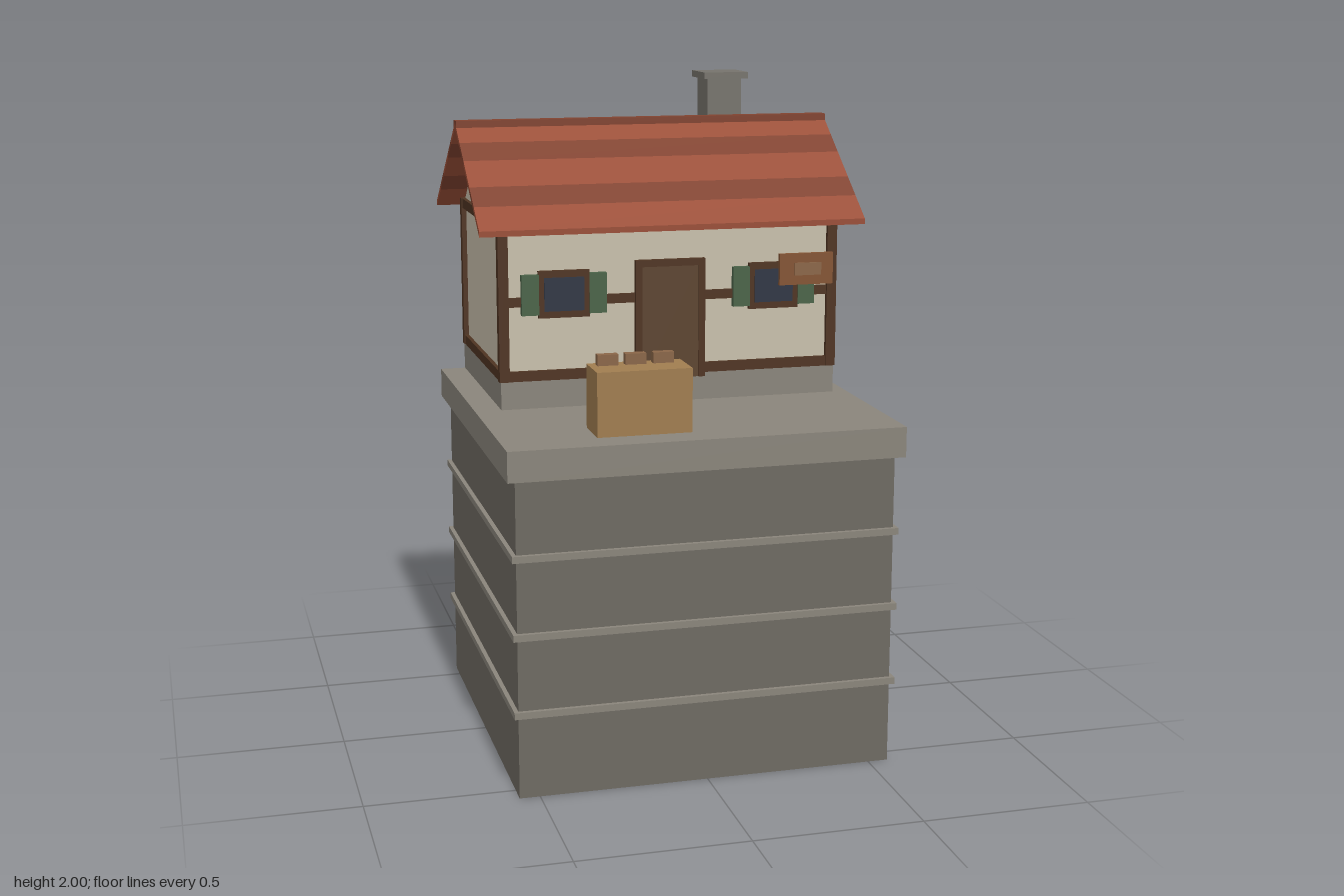
import * as THREE from 'three';

const mat = (color) => new THREE.MeshStandardMaterial({ color, flatShading: true });

const M = {
  stone: mat(0x6e6a62), slab: mat(0x8a857b), chimney: mat(0x76736c), plaster: mat(0xc8bfab),
  timber: mat(0x4f3422), door: mat(0x5c4430), glass: mat(0x303644), shutter: mat(0x4a6348),
  tileLight: mat(0x9a4e37), tileDark: mat(0x80422f), crate: mat(0xa07d50),
  sign: mat(0x845434), loaf: mat(0x8a6648),
};

// Box given by its lower and upper limits on each axis
function box(parent, name, material, [x0, x1], [y0, y1], [z0, z1]) {
  const mesh = new THREE.Mesh(new THREE.BoxGeometry(x1 - x0, y1 - y0, z1 - z0), material);
  mesh.position.set((x0 + x1) / 2, (y0 + y1) / 2, (z0 + z1) / 2);
  mesh.name = name;
  parent.add(mesh);
  return mesh;
}

// Outline in (z, y) extruded along x, centred on x = 0
function prism(parent, name, material, points, length) {
  const shape = new THREE.Shape(points.map(([z, y]) => new THREE.Vector2(-z, y)));
  const geometry = new THREE.ExtrudeGeometry(shape, { depth: length, bevelEnabled: false });
  geometry.translate(0, 0, -length / 2).rotateY(Math.PI / 2);
  const mesh = new THREE.Mesh(geometry, material);
  mesh.name = name;
  parent.add(mesh);
}

// Window with frame, glass and a pair of shutters, facing +z
function createWindow(x) {
  const g = new THREE.Group();
  g.name = 'window';
  box(g, 'windowFrame', M.timber, [-0.077, 0.077], [1.315, 1.455], [-0.01, 0.014]);
  box(g, 'windowGlass', M.glass, [-0.06, 0.06], [1.335, 1.435], [0, 0.017]);
  for (const s of [-1, 1]) {
    const c = s * 0.102;
    box(g, 'shutter', M.shutter, [c - 0.026, c + 0.026], [1.325, 1.445], [-0.01, 0.018]);
  }
  g.position.x = x;
  return g;
}

function createPlinth() {
  const g = new THREE.Group();
  g.name = 'plinth';
  const square = (name, m, r, y) => box(g, name, m, [-r, r], y, [-r, r]);
  square('plinthBlock', M.stone, 0.56, [0, 0.94]);
  for (const y of [0.254, 0.485, 0.715]) square('plinthBand', M.slab, 0.573, [y - 0.01, y + 0.01]);
  square('plinthTop', M.slab, 0.585, [0.94, 1.03]);
  return g;
}

// House body, centred on its own z = 0
function createHouse() {
  const g = new THREE.Group();
  g.name = 'house';
  box(g, 'foundation', M.slab, [-0.517, 0.517], [1.045, 1.13], [-0.327, 0.327]);
  box(g, 'walls', M.plaster, [-0.506, 0.506], [1.13, 1.6], [-0.317, 0.317]);
  prism(g, 'gable', M.plaster, [[-0.315, 1.6], [0.315, 1.6], [0, 1.843]], 1.012);

  // Timber framing: posts at the corners, beams above and below
  for (const s of [-1, 1]) {
    for (const t of [-1, 1]) {
      const x = s * 0.506, z = t * 0.316;
      box(g, 'cornerPost', M.timber, [x - 0.015, x + 0.015], [1.128, 1.6], [z - 0.015, z + 0.015]);
    }
    for (const y of [1.143, 1.585]) {
      const z = s * 0.316, x = s * 0.506;
      box(g, 'longBeam', M.timber, [-0.506, 0.506], [y - 0.015, y + 0.015], [z - 0.012, z + 0.012]);
      box(g, 'endBeam', M.timber, [x - 0.012, x + 0.012], [y - 0.015, y + 0.015], [-0.316, 0.316]);
    }
    // Mid rail and two windows on each long side
    const side = new THREE.Group();
    side.name = s > 0 ? 'frontSide' : 'backSide';
    box(side, 'midRail', M.timber, [-0.506, 0.506], [1.35, 1.378], [-0.012, 0.008]);
    side.add(createWindow(-0.325), createWindow(0.321));
    side.position.z = s * 0.317;
    if (s < 0) side.rotation.y = Math.PI;
    g.add(side);
  }

  // Door and its frame
  box(g, 'door', M.door, [-0.09, 0.088], [1.117, 1.456], [0.31, 0.332]);
  for (const x of [-0.099, 0.095]) {
    box(g, 'doorJamb', M.timber, [x - 0.01, x + 0.01], [1.117, 1.476], [0.31, 0.337]);
  }
  box(g, 'doorLintel', M.timber, [-0.109, 0.105], [1.456, 1.476], [0.31, 0.337]);

  // Roof slopes in rows of alternating tile colour
  const rows = [0, 0.078, 0.145, 0.24, 0.31, 0.395];
  const top = (d) => 1.866 - d * 0.708;
  for (const s of [-1, 1]) {
    for (let i = 0; i < rows.length - 1; i++) {
      const a = rows[i], b = rows[i + 1];
      const outline = [[s * a, top(a)], [s * b, top(b)], [s * b, top(b) - 0.017], [s * a, top(a) - 0.017]];
      prism(g, 'roofRow', i % 2 ? M.tileDark : M.tileLight, outline, 1.17);
    }
  }
  box(g, 'ridge', M.tileDark, [-0.585, 0.585], [1.848, 1.871], [-0.022, 0.022]);

  // Chimney
  box(g, 'chimney', M.chimney, [0.222, 0.332], [1.69, 1.98], [-0.168, -0.055]);
  box(g, 'chimneyCap', M.chimney, [0.208, 0.35], [1.98, 2], [-0.184, -0.043]);
  g.position.z = -0.189;
  return g;
}

// Counter with three loaves, and the floating sign
function createStall() {
  const g = new THREE.Group();
  g.name = 'stall';
  box(g, 'counter', M.crate, [-0.322, -0.047], [1.045, 1.23], [0.415, 0.55]);
  for (const x of [-0.277, -0.197, -0.116]) {
    box(g, 'loaf', M.loaf, [x - 0.03, x + 0.03], [1.237, 1.268], [0.468, 0.494]);
  }
  box(g, 'signBoard', M.sign, [0.195, 0.351], [1.458, 1.546], [0.568, 0.581]);
  box(g, 'signPlaque', M.loaf, [0.238, 0.315], [1.485, 1.52], [0.575, 0.586]);
  return g;
}

export function createModel() {
  const model = new THREE.Group();
  model.name = 'cottageOnPlinth';
  model.add(createPlinth(), createHouse(), createStall());
  return model;
}
